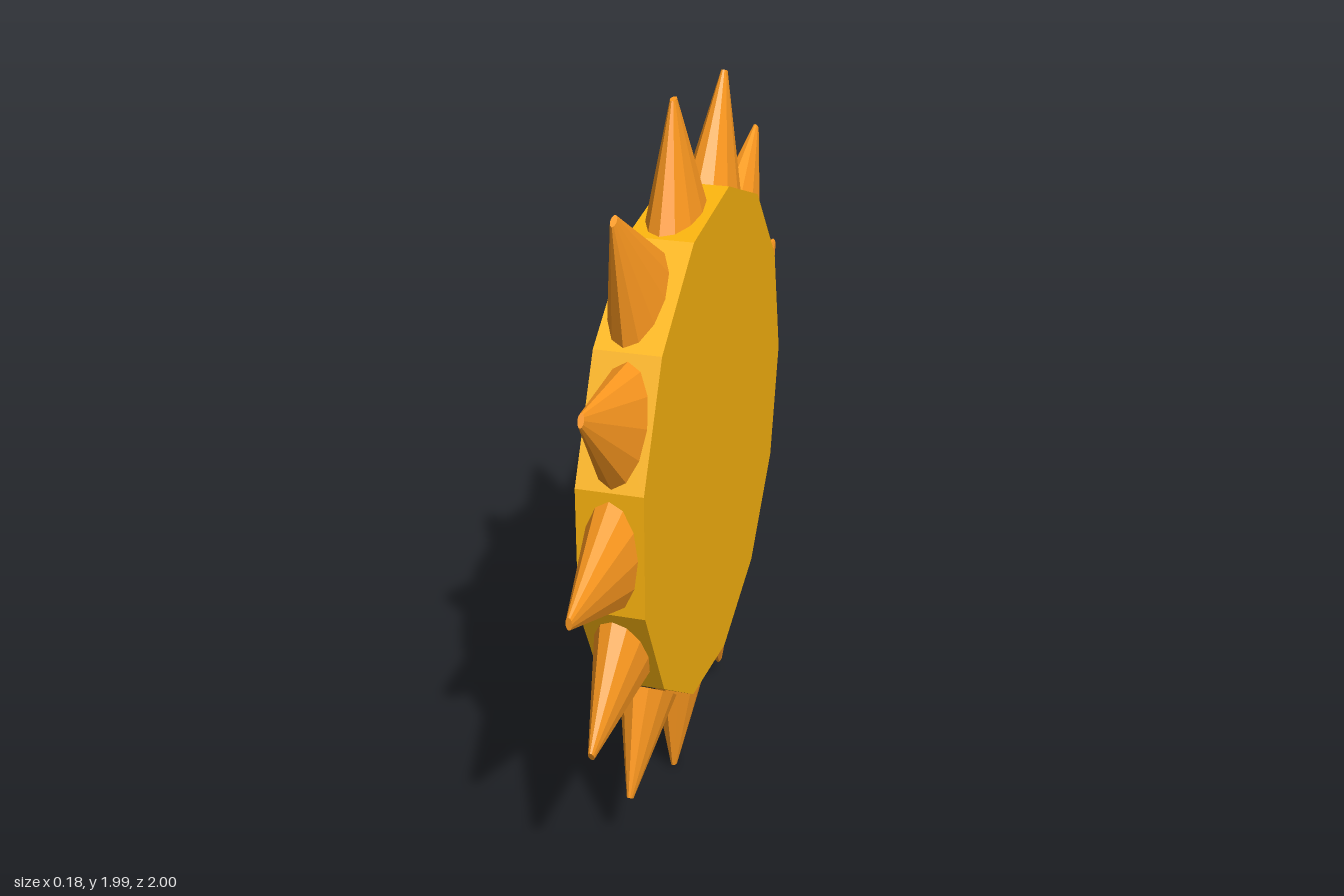
import * as THREE from 'three';

const SIDES = 13;
const RADIUS = 0.715;
const APOTHEM = RADIUS * Math.cos(Math.PI / SIDES);
const CENTER_Y = 1, CENTER_Z = -0.005;
const HALF_WIDTH = 0.088;

// Spike tips, one per rim facet: [z, y, sideways offset in x]
const TIPS = [
  [1.0, 0.984, 0], [0.89, 1.455, 0.004], [0.575, 1.823, -0.014], [0.104, 1.99, -0.007],
  [-0.366, 1.947, 0], [-0.757, 1.679, -0.005], [-0.992, 1.235, 0], [-0.973, 0.738, 0],
  [-0.746, 0.31, 0], [-0.366, 0.064, 0], [0.142, 0.008, 0], [0.564, 0.182, 0], [0.869, 0.524, 0],
];

const material = (color) => new THREE.MeshStandardMaterial({ color, flatShading: true });

export function createModel() {
  const group = new THREE.Group();
  const add = (name, geometry, mat) => {
    const mesh = new THREE.Mesh(geometry, mat);
    mesh.name = name;
    group.add(mesh);
    return mesh;
  };

  // Thirteen-sided disc lying across the x axis, one corner pointing to the back
  const discGeometry = new THREE.CylinderGeometry(RADIUS, RADIUS, HALF_WIDTH * 2, SIDES, 1, false, Math.PI);
  discGeometry.rotateZ(Math.PI / 2);
  add('disc', discGeometry, material(0xfbb40f)).position.set(0, CENTER_Y, CENTER_Z);

  // Flat coloured panel on the -x face
  const panelGeometry = new THREE.CylinderGeometry(0.605, 0.605, 0.004, SIDES, 1, false, Math.PI);
  panelGeometry.rotateZ(Math.PI / 2);
  add('facePanel', panelGeometry, material(0xdae029)).position.set(-HALF_WIDTH, CENTER_Y, CENTER_Z);

  // Flattened blunt cones, from the middle of each rim facet to its tip
  const spikeMaterial = material(0xff9a20);
  TIPS.forEach(([tipZ, tipY, x], i) => {
    const angle = (i / SIDES) * Math.PI * 2;
    const baseZ = CENTER_Z + APOTHEM * Math.cos(angle);
    const baseY = CENTER_Y + APOTHEM * Math.sin(angle) - 0.008;
    const dz = tipZ - baseZ, dy = tipY - baseY;
    const length = Math.hypot(dz, dy);
    const geometry = new THREE.CylinderGeometry(0.018, 0.158, length, 12);
    geometry.translate(0, length / 2, 0);
    const spike = add('spike' + (i + 1), geometry, spikeMaterial);
    spike.scale.x = 0.45;
    spike.rotation.x = Math.atan2(dz, dy);
    spike.position.set(x, baseY, baseZ);
  });

  return group;
}
